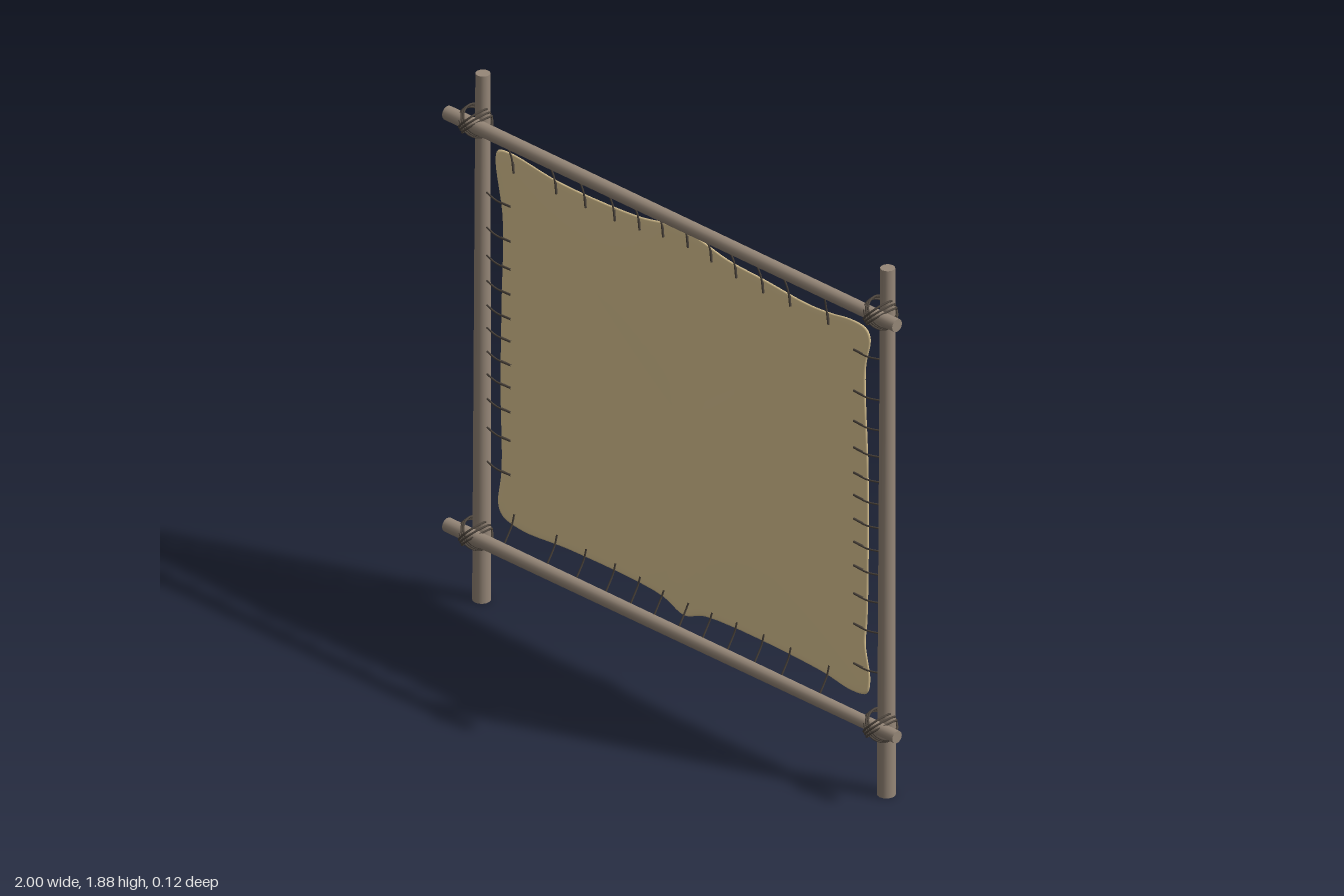
import * as THREE from 'three';

const wood = new THREE.MeshStandardMaterial({ color: 0x968778 });
wood.name = 'weathered wood';
const hideMat = new THREE.MeshStandardMaterial({ color: 0xe5cd99 });
hideMat.name = 'tan hide';
const cord = new THREE.MeshStandardMaterial({ color: 0x4e463e });
cord.name = 'dark cord';

const V = (x, y, z) => new THREE.Vector3(x, y, z);

// Tapered pole between two points
function pole(name, a, b, ra, rb) {
  const dir = b.clone().sub(a);
  const m = new THREE.Mesh(new THREE.CylinderGeometry(rb, ra, dir.length(), 14), wood);
  m.position.copy(a).add(b).multiplyScalar(0.5);
  m.quaternion.setFromUnitVectors(V(0, 1, 0), dir.normalize());
  m.name = name;
  return m;
}

// Cord running from the frame and lying on the hide
function tie(name, pts, r = 0.0032) {
  const m = new THREE.Mesh(new THREE.TubeGeometry(new THREE.CatmullRomCurve3(pts), 8, r, 5), cord);
  m.name = name;
  return m;
}

// Closed thin skin: rings swept from the back centre, round the rim, to the front centre
function hideGeometry() {
  const outline = [
    [-0.837, 1.6], [-0.825, 1.637], [-0.77, 1.648], [-0.55, 1.628], [-0.2, 1.642], [-0.06, 1.668], [0.05, 1.668],
    [0.2, 1.64], [0.36, 1.632], [0.55, 1.62], [0.65, 1.626], [0.75, 1.64], [0.815, 1.632], [0.832, 1.6],
    [0.812, 1.5], [0.81, 1.4], [0.823, 1.1], [0.818, 0.6], [0.81, 0.5], [0.83, 0.38], [0.815, 0.327],
    [0.75, 0.312], [0.6, 0.33], [0.1, 0.325], [0, 0.292], [-0.1, 0.325], [-0.5, 0.33], [-0.72, 0.316],
    [-0.805, 0.335], [-0.825, 0.37], [-0.81, 0.5], [-0.815, 0.8], [-0.81, 1.1], [-0.805, 1.4],
  ];
  const curve = new THREE.CatmullRomCurve3(outline.map(([x, y]) => V(x, y, 0)), true, 'centripetal');
  const n = 180, cy = 0.98, mid = -0.025;
  const rim = curve.getPoints(n).slice(0, n);
  // [inset from the edge, z offset]
  const rings = [[0.82, -0.004], [0.4, -0.004], [0.04, -0.004], [0.01, -0.0025], [0, 0],
    [0.01, 0.0025], [0.04, 0.004], [0.4, 0.004], [0.82, 0.004]];
  const pos = [], idx = [];
  for (const [inset, dz] of rings) {
    for (const p of rim) {
      const s = 1 - inset;
      const sag = 0.002 * Math.sin(p.x * 4 * s) * Math.cos(p.y * 3 * s) * Math.min(1, inset * 4);
      pos.push(p.x * s, cy + (p.y - cy) * s, mid + dz + sag);
    }
  }
  for (let r = 0; r < rings.length - 1; r++) {
    for (let i = 0; i < n; i++) {
      const j = (i + 1) % n, a = r * n + i, b = r * n + j, c = a + n, d = b + n;
      idx.push(a, c, b, b, c, d);
    }
  }
  const back = pos.length / 3, front = back + 1, last = (rings.length - 1) * n;
  pos.push(0, cy, mid - 0.004, 0, cy, mid + 0.004);
  for (let i = 0; i < n; i++) {
    const j = (i + 1) % n;
    idx.push(back, i, j, front, last + j, last + i);
  }
  const g = new THREE.BufferGeometry();
  g.setAttribute('position', new THREE.Float32BufferAttribute(pos, 3));
  g.setIndex(idx);
  g.computeVertexNormals();
  return g;
}

// Crossed loops of cord binding a rail to a post
function lashing(x, y) {
  const g = new THREE.Group();
  g.name = 'lashing';
  for (const side of [-1, 1]) {
    for (const k of [-1, 0, 1]) {
      const loop = new THREE.Mesh(new THREE.TorusGeometry(0.054, 0.0036, 6, 24), cord);
      loop.name = 'lashingLoop';
      const turn = side * (Math.PI / 4 + k * 0.05);
      loop.rotation.set(Math.PI / 2, 0, turn, 'ZXY');
      loop.position.set(-Math.sin(turn) * k * 0.011, Math.cos(turn) * k * 0.011, 0.002 * side);
      g.add(loop);
    }
  }
  g.position.set(x, y, 0);
  return g;
}

export function createModel() {
  const root = new THREE.Group();
  root.name = 'hideStretchingFrame';

  // Frame
  for (const s of [-1, 1]) {
    root.add(pole(s < 0 ? 'rightPost' : 'leftPost', V(s * 0.9, 0, -0.026), V(s * 0.9, 1.88, -0.032), 0.03, 0.024));
  }
  root.add(pole('topRail', V(-1, 1.722, 0.026), V(1, 1.734, 0.026), 0.024, 0.022));
  root.add(pole('bottomRail', V(-1, 0.249, 0.026), V(1, 0.262, 0.026), 0.024, 0.021));
  for (const s of [-1, 1]) root.add(lashing(s * 0.9, 1.726 + s * 0.005), lashing(s * 0.9, 0.251 + s * 0.005));

  // Stretched skin
  const hide = new THREE.Mesh(hideGeometry(), hideMat);
  hide.name = 'hide';
  root.add(hide);

  // Ties along the rails
  const xs = [-0.75, -0.56, -0.43, -0.3, -0.19, -0.085, 0.025, 0.13, 0.24, 0.36, 0.48, 0.65];
  for (const x of xs) {
    const bulge = 0.035 * Math.exp(-x * x * 25);
    const end = 1.585 + bulge;
    const top = x - 0.008 + (x > 0.6 ? 0.018 : 0);
    root.add(tie('topTie', [V(top, 1.715, 0.012), V(x - 0.002, end + 0.055, -0.012), V(x, end, -0.018)]));
    root.add(tie('topTieEnd', [V(x - 0.003, end + 0.04, -0.017), V(x, end, -0.019)], 0.0045));
    root.add(tie('bottomTie', [V(x - 0.008, 0.272, 0.012), V(x - 0.002, 0.325, -0.012), V(x + 0.004, 0.368 - bulge * 0.5, -0.018)]));
  }

  // Ties along the posts
  const sides = [
    [-1, [1.46, 1.335, 1.235, 1.145, 1.058, 0.977, 0.893, 0.812, 0.724, 0.622, 0.5]],
    [1, [1.54, 1.393, 1.285, 1.19, 1.1, 1.02, 0.935, 0.853, 0.768, 0.668, 0.56, 0.418]],
  ];
  for (const [s, ys] of sides) {
    for (const y of ys) {
      root.add(tie('sideTie', [V(s * 0.885, y + 0.007, -0.026), V(s * 0.825, y - 0.001, -0.017), V(s * 0.762, y, -0.018)]));
      root.add(tie('sideTieEnd', [V(s * 0.805, y - 0.001, -0.018), V(s * 0.762, y, -0.019)], 0.0042));
    }
  }
  return root;
}
